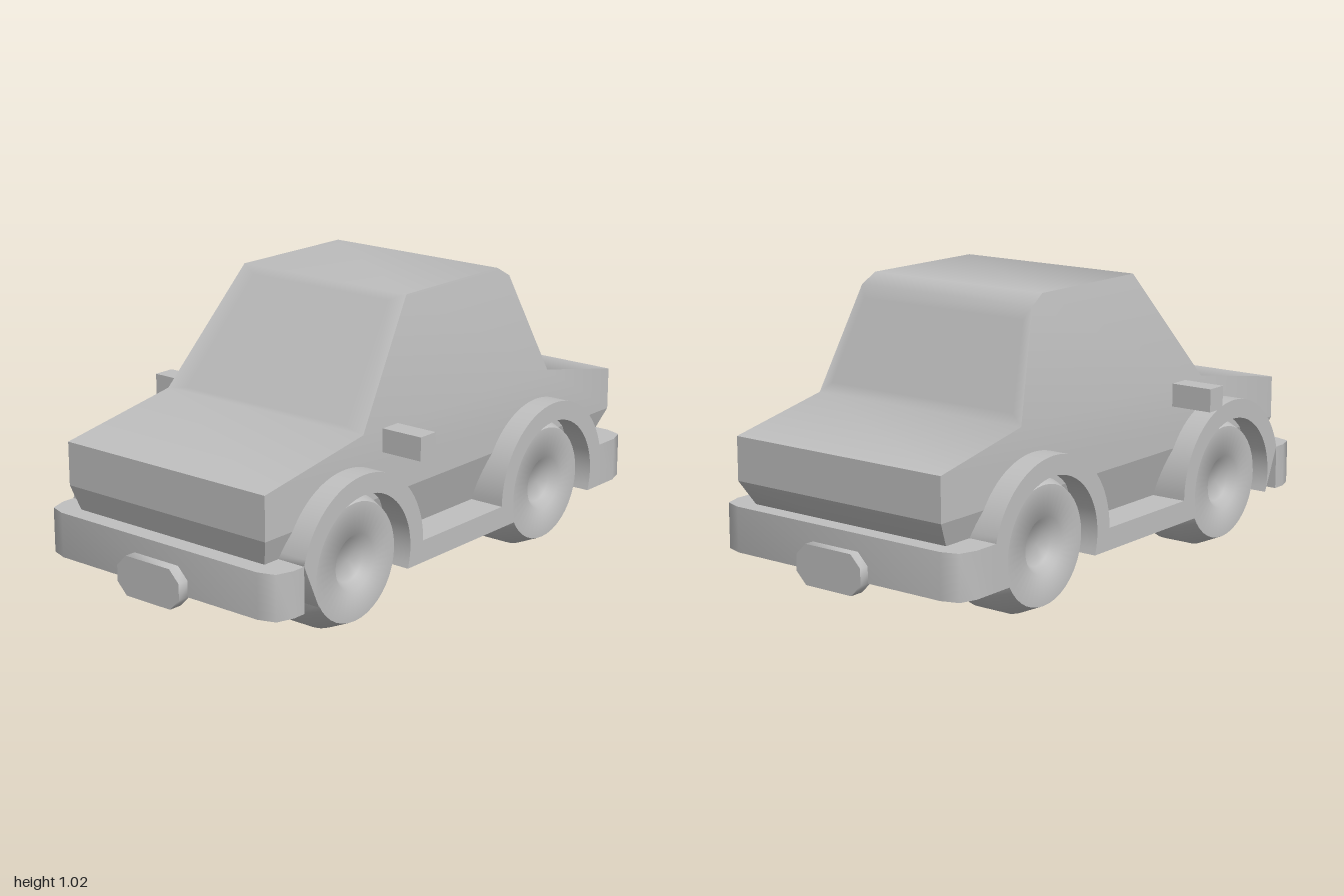
import * as THREE from 'three';
import { toCreasedNormals } from 'three/addons/utils/BufferGeometryUtils.js';

const CREASE = THREE.MathUtils.degToRad(60);
const WHEEL_Y = 0.236, WHEEL_R = 0.235, ARCH_R = 0.302;
const FRONT_AXLE = 0.54, REAR_AXLE = -0.5;
const FLOOR = 0.16, BUMPER_TOP = 0.315;

export function createModel() {
  const car = new THREE.Group();
  car.name = 'car';
  const grey = new THREE.MeshStandardMaterial({ color: 0xbfbfbf });
  grey.name = 'plain grey';

  function add(name, geometry) {
    const mesh = new THREE.Mesh(toCreasedNormals(geometry, CREASE), grey);
    mesh.name = name;
    car.add(mesh);
    return mesh;
  }
  function box(name, x0, x1, y0, y1, z0, z1) {
    const g = new THREE.BoxGeometry(x1 - x0, y1 - y0, z1 - z0);
    g.translate((x0 + x1) / 2, (y0 + y1) / 2, (z0 + z1) / 2);
    return add(name, g);
  }

  // Body shell: convex faces collected as triangle fans
  function shell(name, build) {
    const pos = [];
    const face = (pts) => {
      for (let i = 1; i < pts.length - 1; i++) pos.push(...pts[0], ...pts[i], ...pts[i + 1]);
    };
    build(face);
    const g = new THREE.BufferGeometry();
    g.setAttribute('position', new THREE.Float32BufferAttribute(pos, 3));
    add(name, g);
  }
  // Half width of the body at a given height
  const halfWidth = (y) => {
    if (y < 0.4) return 0.43 - (0.4 - y) * 0.3;
    return y <= 0.63 ? 0.43 : 0.43 - (y - 0.63) * (0.075 / 0.39);
  };
  const at = (side, [z, y]) => [side * halfWidth(y), y, z];
  const strip = (face, a, b) => face([at(1, a), at(1, b), at(-1, b), at(-1, a)]);
  const sides = (face, outline) => {
    face(outline.map((p) => at(-1, p)));
    face(outline.map((p) => at(1, p)).reverse());
  };
  // Window strip: a flat pane surrounded by a softly shaded frame
  const windowStrip = (face, a, b, t0, t1, widthRatio) => {
    const mix = (t) => [a[0] + (b[0] - a[0]) * t, a[1] + (b[1] - a[1]) * t];
    const pane = (side, t) => {
      const p = at(side, mix(t));
      return [p[0] * widthRatio, p[1], p[2]];
    };
    const outer = [at(1, a), at(1, b), at(-1, b), at(-1, a)];
    const inner = [pane(1, t0), pane(1, t1), pane(-1, t1), pane(-1, t0)];
    face(inner);
    for (let i = 0; i < 4; i++) {
      const j = (i + 1) % 4;
      face([outer[i], outer[j], inner[j], inner[i]]);
    }
  };

  // Profile points as [z, y]
  const noseLow = [0.873, 0.235], nose = [0.92, 0.4], hoodEdge = [0.92, 0.55];
  const cowl = [0.45, 0.63], roofFront = [0.14, 1.02], roofRear = [-0.36, 1.02];
  const roofLip = [-0.42, 0.985], deck = [-0.565, 0.63];
  const trunkEdge = [-0.958, 0.55], tail = [-0.958, 0.4], tailLow = [-0.855, 0.235];

  shell('lowerBody', (face) => {
    strip(face, noseLow, nose);
    strip(face, tail, tailLow);
    sides(face, [noseLow, nose, tail, tailLow]);
    strip(face, tailLow, noseLow);
  });
  shell('bodyAndCabin', (face) => {
    strip(face, nose, hoodEdge);
    strip(face, hoodEdge, cowl);
    windowStrip(face, cowl, roofFront, 0.03, 0.94, 0.83);
    strip(face, roofFront, roofRear);
    strip(face, roofRear, roofLip);
    windowStrip(face, roofLip, deck, 0.12, 0.9, 0.91);
    strip(face, deck, trunkEdge);
    strip(face, trunkEdge, tail);
    sides(face, [nose, hoodEdge, cowl, deck, trunkEdge, tail]);
    sides(face, [cowl, roofFront, roofRear, roofLip, deck]);
  });

  // Floor between the side skirts
  box('floor', -0.43, 0.43, FLOOR, 0.236, -0.8, 0.84);

  // Side skirts with wheel arches (shape u = -z, v = y)
  const open = Math.asin((WHEEL_Y - FLOOR) / WHEEL_R);
  const join = Math.asin((BUMPER_TOP - WHEEL_Y) / ARCH_R);
  const reach = ARCH_R * Math.cos(join);
  const skirt = new THREE.Shape();
  skirt.moveTo(-FRONT_AXLE - reach, FLOOR);
  for (const axle of [FRONT_AXLE, REAR_AXLE]) {
    skirt.absarc(-axle, WHEEL_Y, WHEEL_R, Math.PI + open, -open, true);
  }
  skirt.lineTo(-REAR_AXLE + reach, FLOOR);
  skirt.absarc(-REAR_AXLE, WHEEL_Y, ARCH_R, join, Math.PI, false);
  skirt.absarc(-FRONT_AXLE, WHEEL_Y, ARCH_R, 0, Math.PI - join, false);
  for (const [name, x] of [['leftSkirt', 0.38], ['rightSkirt', -0.51]]) {
    const g = new THREE.ExtrudeGeometry(skirt, { depth: 0.13, bevelEnabled: false, curveSegments: 20 });
    g.rotateY(Math.PI / 2);
    g.translate(x, 0, 0);
    add(name, g);
  }

  // Bumpers with clipped corners, and the plates on them
  const ends = [['front', 1, FRONT_AXLE + reach, 0.96], ['rear', -1, -REAR_AXLE + reach, 0.965]];
  for (const [name, s, inner, outer] of ends) {
    const half = [[0.51, inner], [0.51, outer - 0.08], [0.49, outer - 0.02], [0.43, outer]];
    const outline = [...half, ...half.map(([x, z]) => [-x, z]).reverse()];
    const plan = new THREE.Shape(outline.map(([x, z]) => new THREE.Vector2(x, -s * z)));
    const bumper = new THREE.ExtrudeGeometry(plan, { depth: BUMPER_TOP - FLOOR, bevelEnabled: false });
    bumper.rotateX(-Math.PI / 2);
    bumper.translate(0, FLOOR, 0);
    add(name + 'Bumper', bumper);

    const w = 0.136, h = 0.068, c = 0.04;
    const octagon = new THREE.Shape([
      [w - c, -h], [w, c - h], [w, h - c], [w - c, h],
      [c - w, h], [-w, h - c], [-w, c - h], [c - w, -h],
    ].map(([x, y]) => new THREE.Vector2(x, y)));
    const plate = new THREE.ExtrudeGeometry(octagon, { depth: 0.05, bevelEnabled: false });
    plate.translate(0, 0.188, s > 0 ? 0.95 : -1);
    add(name + 'Plate', plate);
  }

  // Wheels: radius and distance from the car's centre line
  const wheelProfile = [
    [0, 0.2], [0.2, 0.2], [0.235, 0.275], [0.235, 0.39], [0.2, 0.47],
    [0.095, 0.47], [0.072, 0.44], [0, 0.44],
  ].map(([r, d]) => new THREE.Vector2(r, d));
  for (const [side, s] of [['Left', 1], ['Right', -1]]) {
    for (const [end, z] of [['front', FRONT_AXLE], ['rear', REAR_AXLE]]) {
      const g = new THREE.LatheGeometry(wheelProfile, 40);
      g.rotateZ(-s * Math.PI / 2);
      g.translate(0, WHEEL_Y, z);
      add(end + side + 'Wheel', g);
    }
    // Door mirrors
    const xs = [s * 0.42, s * 0.585].sort((a, b) => a - b);
    box('mirror' + side, xs[0], xs[1], 0.55, 0.63, 0.275, 0.352);
  }
  return car;
}
